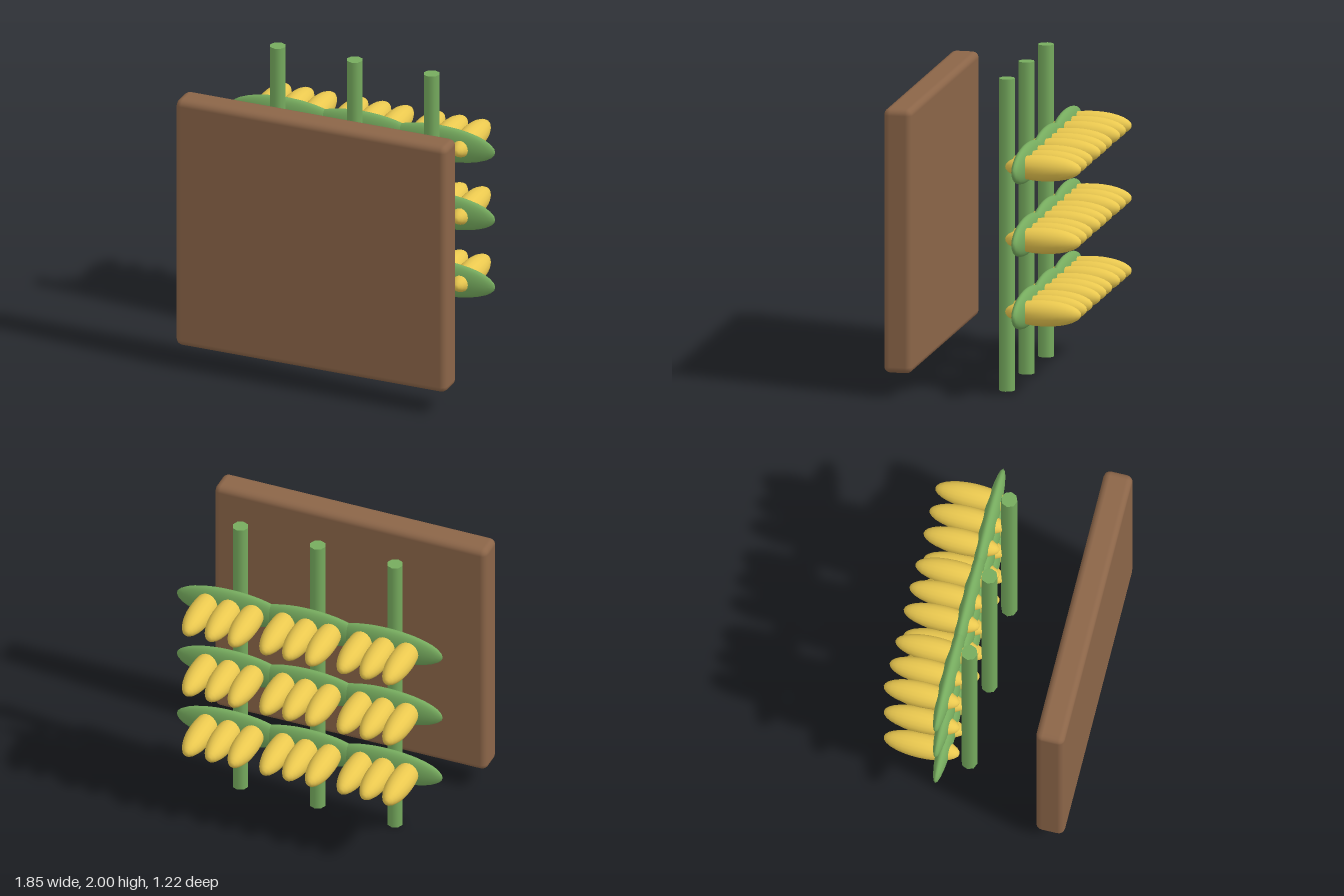
import * as THREE from 'three';
import { RoundedBoxGeometry } from 'three/addons/geometries/RoundedBoxGeometry.js';

const brown = new THREE.MeshStandardMaterial({ color: 0x8b6548 });
const green = new THREE.MeshStandardMaterial({ color: 0x76ab5e });
const yellow = new THREE.MeshStandardMaterial({ color: 0xeac84f });

function addMesh(parent, name, geometry, material, x, y, z) {
  const mesh = new THREE.Mesh(geometry, material);
  mesh.name = name;
  mesh.position.set(x, y, z);
  parent.add(mesh);
  return mesh;
}

export function createModel() {
  const model = new THREE.Group();
  model.name = 'fruitingPlantPanel';

  // Thick board with softened edges
  addMesh(model, 'board', new RoundedBoxGeometry(1.85, 1.695, 0.185, 2, 0.042), brown, 0, 1.002, 0.518);

  // Shared shapes: stalk, flattened leaf and long fruit
  const stalk = new THREE.CylinderGeometry(0.052, 0.052, 2, 8);
  const leaf = new THREE.SphereGeometry(1, 24, 16).scale(0.378, 0.12, 0.05);
  const fruit = new THREE.SphereGeometry(1, 18, 14).rotateX(Math.PI / 2).scale(0.081, 0.083, 0.245);

  for (const x of [-0.525, 0, 0.525]) {
    const plant = new THREE.Group();
    plant.name = 'plant';
    plant.position.x = x;
    model.add(plant);
    addMesh(plant, 'stalk', stalk, green, 0, 1, -0.095);

    // Each level carries one leaf with three fruits through it
    for (const y of [0.538, 1.003, 1.468]) {
      addMesh(plant, 'leaf', leaf, green, 0, y, -0.225);
      for (const dx of [-0.155, 0, 0.155]) {
        addMesh(plant, 'fruit', fruit, yellow, dx, y, -0.365);
      }
    }
  }
  return model;
}
